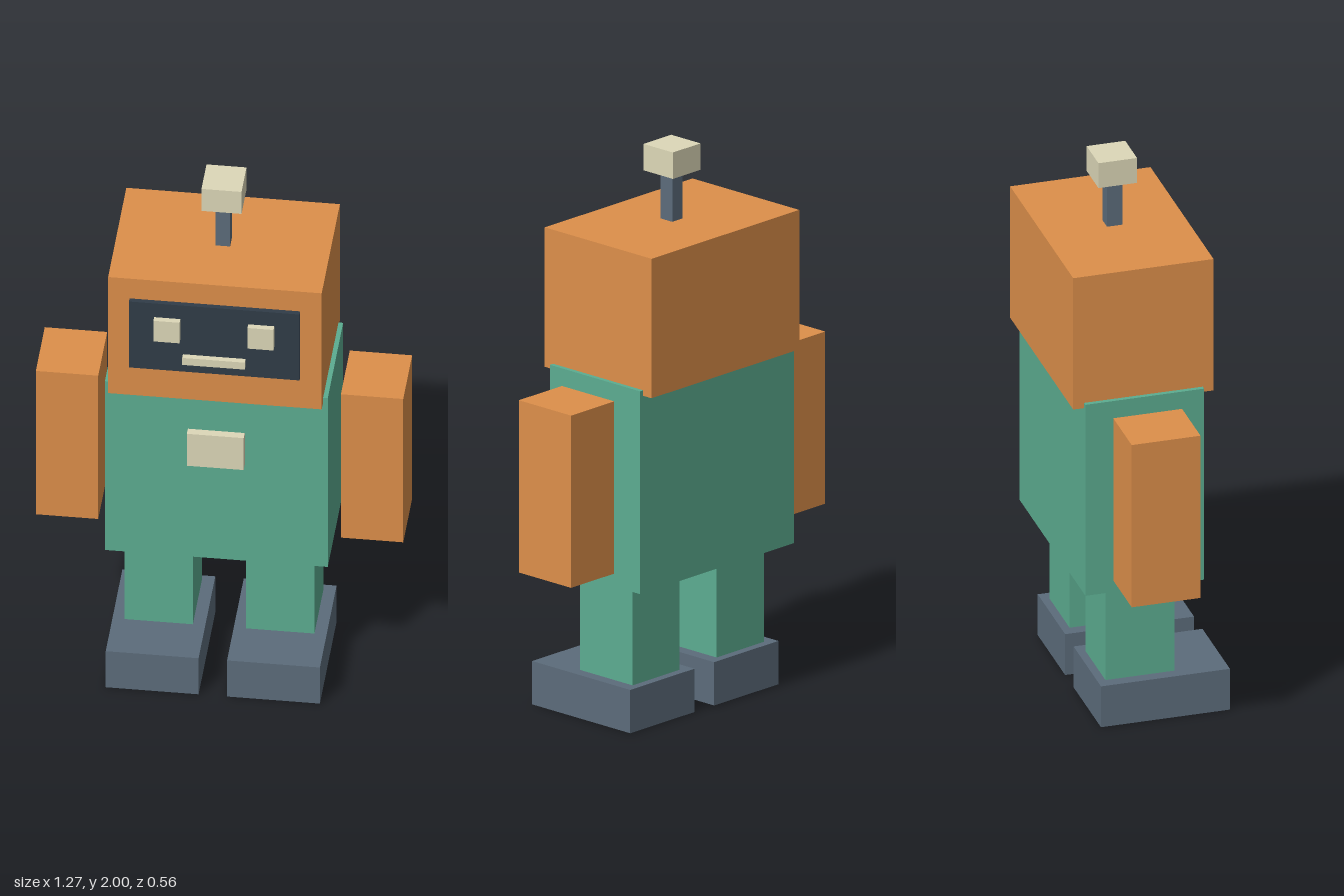
import * as THREE from 'three';

const paint = (color) => new THREE.MeshStandardMaterial({ color });

export function createModel() {
  const robot = new THREE.Group();
  robot.name = 'robot';

  const orange = paint(0xdd8f4a);
  const green = paint(0x5cad91);
  const slate = paint(0x5c6c7b);
  const navy = paint(0x303c48);
  const cream = paint(0xddd8b8);

  // Box given by its [min, max] extent along each axis
  function block(name, material, [x0, x1], [y0, y1], [z0, z1]) {
    const mesh = new THREE.Mesh(new THREE.BoxGeometry(x1 - x0, y1 - y0, z1 - z0), material);
    mesh.position.set((x0 + x1) / 2, (y0 + y1) / 2, (z0 + z1) / 2);
    mesh.name = name;
    robot.add(mesh);
  }

  // The same box on the left (+x) and right (-x) side
  function pair(name, material, [x0, x1], y, z) {
    block('left' + name, material, [x0, x1], y, z);
    block('right' + name, material, [-x1, -x0], y, z);
  }

  // Body
  block('torso', green, [-0.384, 0.384], [0.518, 1.248], [-0.242, 0.182]);
  block('chestPanel', cream, [-0.098, 0.098], [0.932, 1.07], [0.175, 0.211]);

  // Limbs
  pair('Arm', orange, [0.418, 0.633], [0.58, 1.2], [-0.153, 0.093]);
  pair('Leg', green, [0.092, 0.327], [0.15, 0.525], [-0.153, 0.093]);
  pair('Foot', slate, [0.049, 0.369], [0, 0.156], [-0.182, 0.279]);

  // Head and face
  block('head', orange, [-0.368, 0.368], [1.228, 1.73], [-0.281, 0.221]);
  block('faceScreen', navy, [-0.294, 0.294], [1.36, 1.645], [0.21, 0.239]);
  pair('Eye', cream, [0.117, 0.207], [1.497, 1.586], [0.23, 0.26]);
  block('mouth', cream, [-0.108, 0.108], [1.405, 1.435], [0.23, 0.26]);

  // Antenna
  block('antennaStem', slate, [-0.025, 0.025], [1.72, 1.91], [-0.055, 0]);
  block('antennaTip', cream, [-0.069, 0.069], [1.905, 2], [-0.099, 0.039]);

  return robot;
}
